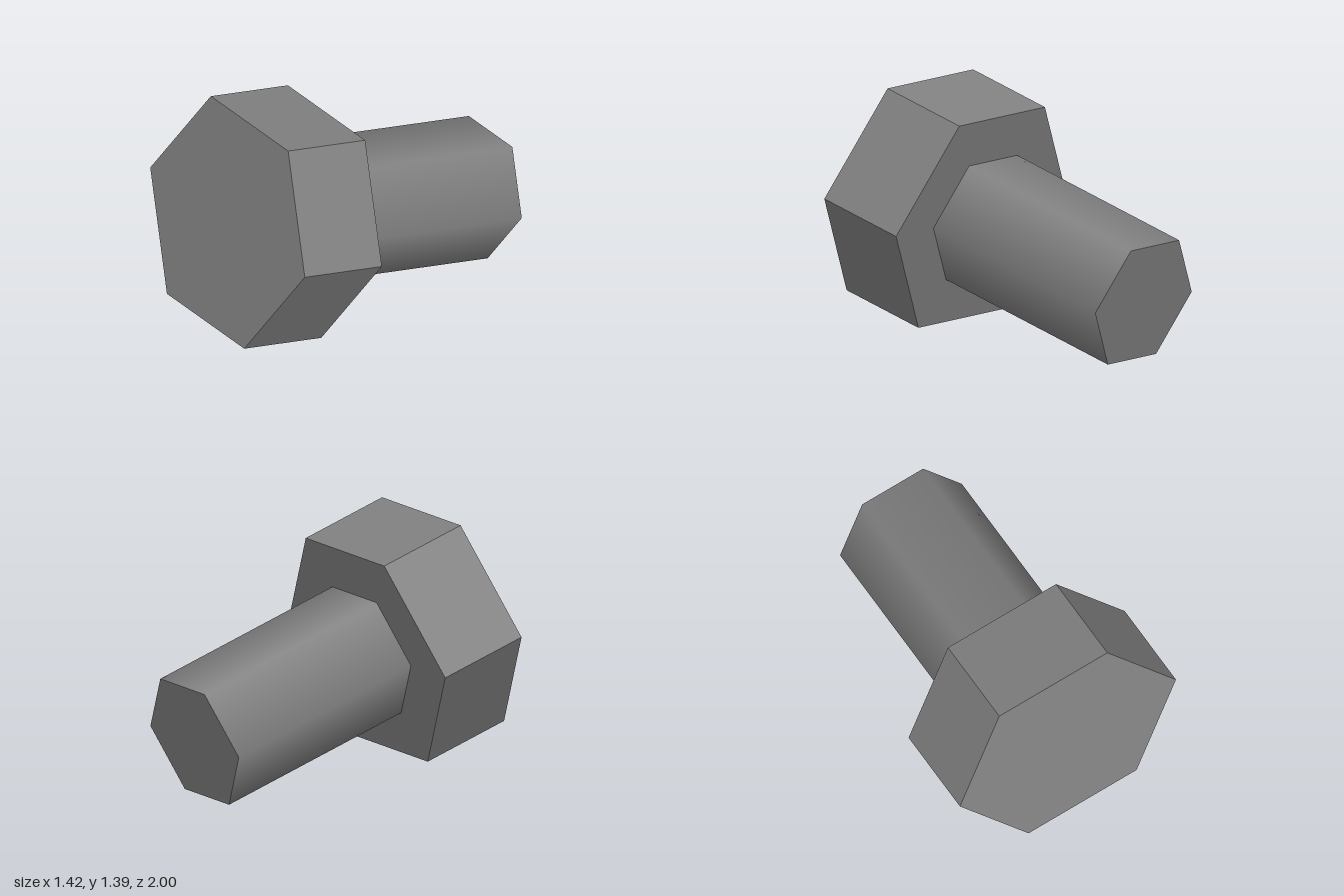
import * as THREE from 'three';

const steel = new THREE.MeshStandardMaterial({ color: 0x808080 });
steel.name = 'steel grey';

// Six-sided prism along z, from z0 to z1, with corners on the left and right
function hexPrism(name, radius, z0, z1, faceted) {
  let geo = new THREE.CylinderGeometry(radius, radius, z1 - z0, 6, 1, false, Math.PI / 6);
  geo.rotateX(Math.PI / 2);
  geo.translate(0, 0, (z0 + z1) / 2);
  if (faceted) {
    geo = geo.toNonIndexed();
    geo.computeVertexNormals();
  }
  const mesh = new THREE.Mesh(geo, steel);
  mesh.name = name;
  return mesh;
}

export function createModel() {
  const model = new THREE.Group();
  model.name = 'hexBolt';

  // Bolt rests tilted, pivoting where the shaft meets the head
  const bolt = new THREE.Group();
  bolt.name = 'tiltedBolt';
  bolt.position.set(0, 0.652, 0.305);
  bolt.rotation.x = -THREE.MathUtils.degToRad(14.5);

  bolt.add(hexPrism('head', 0.71, 0, 0.558, true));
  bolt.add(hexPrism('shaft', 0.4, -1.258, 0, false)); // smooth-shaded sides

  model.add(bolt);
  return model;
}
